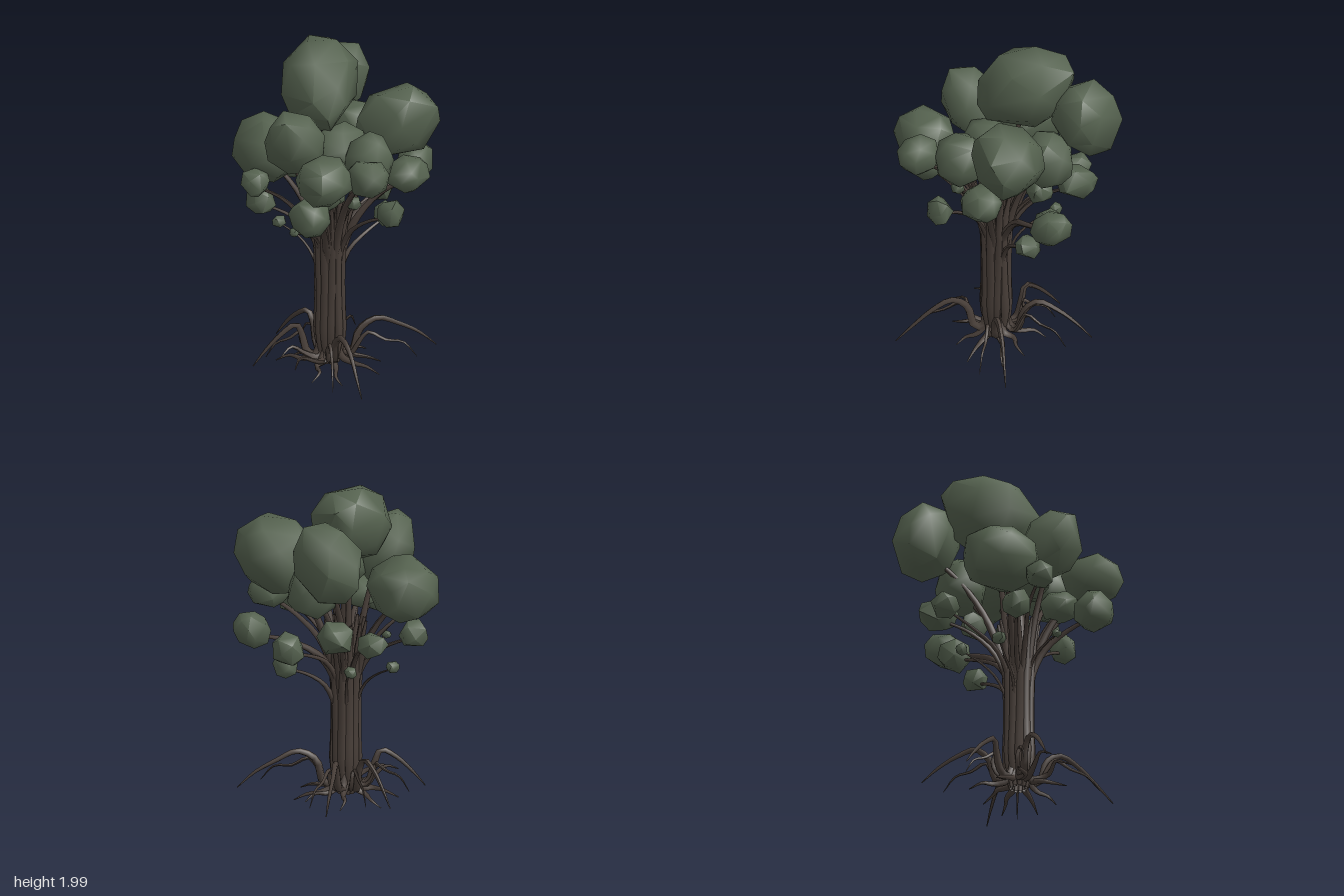
import * as THREE from 'three';
import { mergeVertices, toCreasedNormals } from 'three/addons/utils/BufferGeometryUtils.js';
import { ConvexGeometry } from 'three/addons/geometries/ConvexGeometry.js';

const V = (x, y, z) => new THREE.Vector3(x, y, z);
const TRUNK_X = -0.11;

let seed = 7;
function rand() {
  seed = (seed * 16807) % 2147483647;
  return seed / 2147483647;
}
const jitter = (a) => (rand() * 2 - 1) * a;

// Tube along points whose radius follows the given list
function taperedTube(points, radii, sides = 6, steps = 14) {
  const curve = new THREE.CatmullRomCurve3(points);
  const geo = new THREE.TubeGeometry(curve, steps, 1, sides);
  const pos = geo.attributes.position;
  const v = V(0, 0, 0);
  for (let i = 0; i <= steps; i++) {
    const c = curve.getPointAt(i / steps);
    const f = (i / steps) * (radii.length - 1);
    const k = Math.min(Math.floor(f), radii.length - 2);
    const r = THREE.MathUtils.lerp(radii[k], radii[k + 1], f - k);
    for (let j = 0; j <= sides; j++) {
      const n = i * (sides + 1) + j;
      v.fromBufferAttribute(pos, n).sub(c).multiplyScalar(r).add(c);
      pos.setXYZ(n, v.x, v.y, v.z);
    }
  }
  geo.computeVertexNormals();
  return geo;
}

// Angular convex clump fitted to a box of the given half sizes;
// xy, zy and xz lean it towards a diagonal in the front, side and top planes
function clumpGeometry(rx, ry, rz, xy = 0, zy = 0, xz = 0) {
  const count = rx > 0.1 ? 24 : 15;
  const turn = rand() * 6.28;
  const swell = (t) => Math.sign(t) * Math.abs(t) ** 0.9;
  const pts = [];
  for (let i = 0; i < count; i++) {
    const h = 1 - (2 * (i + 0.5)) / count;
    const a = i * 2.39996 + turn + jitter(0.3);
    const s = Math.sqrt(1 - h * h);
    const p = V(Math.cos(a) * s, h + jitter(0.1), Math.sin(a) * s).normalize().multiplyScalar(1 + jitter(0.05));
    const [x, y, z] = p.toArray().map(swell);
    pts.push(V(x + xy * y + xz * z, y + xy * x + zy * z, z + zy * y + xz * x));
  }
  const box = new THREE.Box3().setFromPoints(pts);
  const mid = box.getCenter(V(0, 0, 0));
  const size = box.getSize(V(0, 0, 0));
  pts.forEach((p) => p.sub(mid).divide(size).multiply(V(2 * rx, 2 * ry, 2 * rz)));
  const geo = new ConvexGeometry(pts);
  geo.deleteAttribute('normal');
  return toCreasedNormals(mergeVertices(geo, 1e-4), 1.1);
}

// Foliage clumps: centre x, y, z, half sizes x, y, z, then leans
const LARGE_CLUMPS = [
  [-0.02, 1.755, -0.14, 0.245, 0.245, 0.23, 0.1, -0.1, -0.12],
  [0.235, 1.54, 0.2, 0.22, 0.225, 0.235, 0.04, 0.12, 0.1],
  [0.295, 1.63, -0.355, 0.175, 0.23, 0.205, 0, 0.1, 0.03],
  [-0.26, 1.365, -0.36, 0.2, 0.195, 0.22, 0, 0, -0.05],
  [-0.38, 1.53, -0.035, 0.175, 0.2, 0.165, -0.1, 0, 0],
  [-0.45, 1.4, 0.255, 0.165, 0.14, 0.155],
  [-0.285, 1.42, 0.45, 0.115, 0.11, 0.13],
  [-0.1, 1.415, 0.29, 0.145, 0.16, 0.14],
  [-0.1, 1.44, 0.06, 0.18, 0.14, 0.14],
  [0.17, 1.27, 0.36, 0.13, 0.1, 0.11],
  [0.22, 1.4, -0.11, 0.15, 0.17, 0.15],
  [-0.5, 1.17, 0.2, 0.115, 0.115, 0.12],
  [-0.31, 1.22, 0.13, 0.11, 0.09, 0.1],
  [0.5, 1.16, 0.115, 0.115, 0.105, 0.105, 0.1, 0, -0.08],
];
const SMALL_CLUMPS = [
  [-0.46, 1.24, -0.27, 0.08, 0.08, 0.08],
  [0.34, 1.04, -0.02, 0.09, 0.1, 0.085],
  [0.27, 0.9, 0.09, 0.07, 0.07, 0.07],
  [-0.09, 1.135, 0.455, 0.08, 0.085, 0.07],
  [0.24, 1.16, -0.32, 0.1, 0.1, 0.12],
  [0.075, 1.12, -0.46, 0.08, 0.075, 0.09],
  [0.1, 1.1, -0.16, 0.07, 0.08, 0.08],
  [0.09, 0.91, -0.28, 0.035, 0.035, 0.04],
  [-0.2, 0.89, -0.31, 0.04, 0.035, 0.035],
  [-0.34, 1.07, -0.33, 0.08, 0.08, 0.08],
  [-0.4, 0.975, -0.02, 0.028, 0.025, 0.028],
  [-0.23, 1.2, 0.18, 0.035, 0.035, 0.035],
  [-0.17, 1.16, 0.24, 0.04, 0.04, 0.04],
];

// Long arched roots and short low roots: tip x, y, z
const ARCHED = [[0.4, 0.11, 0.37], [0.33, 0.1, -0.35], [-0.5, 0.09, -0.25], [-0.41, 0.08, 0.51], [-0.07, 0.09, -0.45]];
const LOW = [[-0.23, 0.008, 0.2], [0.14, 0.03, 0.17], [0.17, 0.06, 0.03], [-0.38, 0.05, 0.1], [-0.46, 0.14, 0.04],
  [-0.3, 0.06, -0.25], [0.1, 0.05, -0.2], [-0.02, 0.04, 0.3], [-0.15, 0.03, -0.27], [-0.42, 0.17, -0.1]];

export function createModel() {
  const bark = new THREE.MeshStandardMaterial({ color: 0x4a403a });
  bark.name = 'bark';
  bark.side = THREE.DoubleSide;
  const leaf = new THREE.MeshStandardMaterial({ color: 0x566350 });
  leaf.name = 'leaf';

  const model = new THREE.Group();
  model.name = 'tree';
  const parts = {};
  for (const name of ['trunk', 'branches', 'roots', 'foliage']) {
    parts[name] = new THREE.Group();
    parts[name].name = name;
    model.add(parts[name]);
  }
  function add(group, name, geo, mat) {
    const mesh = new THREE.Mesh(geo, mat);
    mesh.name = name;
    parts[group].add(mesh);
    return mesh;
  }
  const around = (a, r, y) => V(TRUNK_X + Math.cos(a) * r, y, Math.sin(a) * r);

  // Trunk: a ring of twisted strands around a core
  for (let i = 0; i < 11; i++) {
    const a = (i / 11) * Math.PI * 2;
    const w = jitter(0.12);
    add('trunk', 'trunkStrand', taperedTube(
      [around(a, 0.045, 0.07), around(a + w, 0.068, 0.22), around(a, 0.064, 0.45),
        around(a - w, 0.068, 0.7), around(a, 0.088, 0.95), around(a + w, 0.12, 1.12)],
      [0.012, 0.03, 0.028, 0.027, 0.022, 0.008]), bark);
  }
  add('trunk', 'trunkCore', taperedTube(
    [around(0, 0, 0.08), around(0, 0, 0.6), around(0, 0, 1.3)], [0.05, 0.06, 0.055, 0.02]), bark);

  // Clumps, each carried by a branch that leaves the trunk and bends outward
  for (const [x, y, z, rx, ry, rz, ...leans] of [...LARGE_CLUMPS, ...SMALL_CLUMPS]) {
    add('foliage', 'leafClump', clumpGeometry(rx, ry, rz, ...leans), leaf).position.set(x, y, z);
    const a = Math.atan2(z, x - TRUNK_X);
    const reach = Math.hypot(x - TRUNK_X, z);
    const fork = y < 0.95 ? 0.66 : 0.82;
    const end = y - ry * 0.3;
    const r = rx > 0.1 ? 0.024 : rx > 0.05 ? 0.017 : 0.011;
    const out = (t, h) => around(a + jitter(0.06), 0.07 + (reach - 0.07) * t, fork + (end - fork) * h);
    add('branches', 'branch', taperedTube(
      [around(a, 0.05, fork - 0.3), around(a, 0.064, fork - 0.08), out(0.2, 0.36), out(0.55, 0.74), V(x, end, z)],
      [r, r, r * 0.9, r * 0.65, r * 0.45]), bark);
  }

  // Arched roots that rise from the base and fall to thin tips, each with a thinner side root
  ARCHED.forEach(([x, y, z]) => {
    for (let k = 0; k < 2; k++) {
      const a = Math.atan2(z, x - TRUNK_X) + k * 0.28;
      const reach = Math.hypot(x - TRUNK_X, z) * (1 - k * 0.2);
      const top = 0.32 - k * 0.06;
      const radii = [0.022, 0.025, 0.023, 0.018, 0.014, 0.01, 0.003].map((r) => r * (1 - k * 0.35));
      add('roots', 'archedRoot', taperedTube(
        [around(a, 0.05, 0.24), around(a, 0.085, 0.12), around(a + 0.1, 0.13, 0.13), around(a + 0.12, 0.17, top - 0.06),
          around(a + 0.04, reach * 0.44, top), around(a, reach * 0.64, top - 0.05),
          around(a, reach * 0.84, y + 0.09), around(a, reach, y)],
        radii, 5, 18), bark);
    }
  });

  // Low roots spreading from the foot of the trunk
  LOW.forEach(([x, y, z]) => {
    const a = Math.atan2(z, x - TRUNK_X);
    const reach = Math.hypot(x - TRUNK_X, z);
    add('roots', 'lowRoot', taperedTube(
      [around(a, 0.04, 0.2), around(a, 0.075, 0.11), around(a + jitter(0.25), reach * 0.5, y * 0.5 + 0.065),
        around(a + jitter(0.12), reach * 0.75, y + 0.035), V(x, y, z)],
      [0.022, 0.024, 0.016, 0.01, 0.003], 5, 12), bark);
  });

  return model;
}
